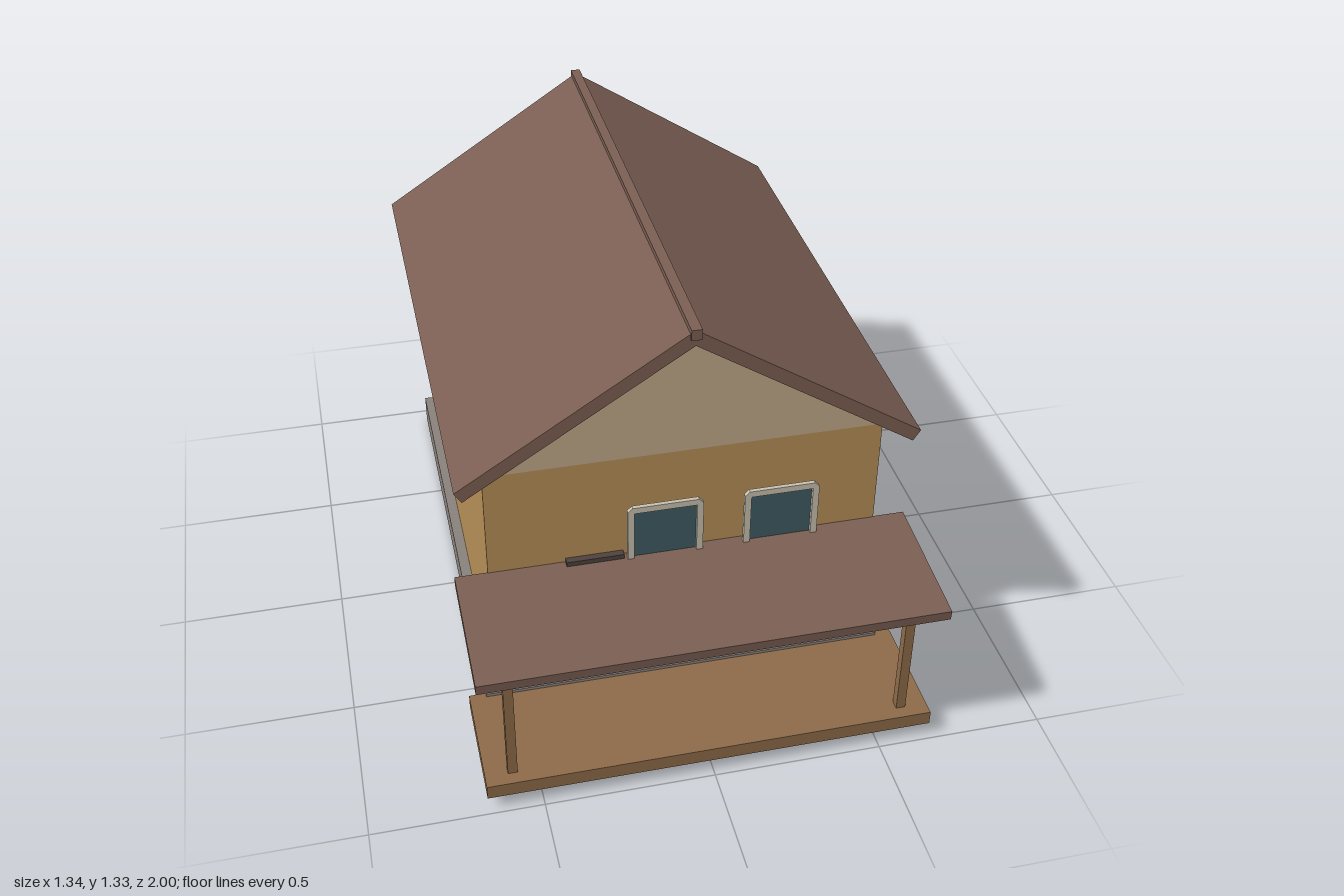
import * as THREE from 'three';

const paint = (color) => new THREE.MeshStandardMaterial({ color });
const M = {
  wall: paint(0xb38d56), gable: paint(0xbfa888), stone: paint(0x89807a), roof: paint(0x7a5e52),
  timber: paint(0x8c6a48), door: paint(0x4d423e), glass: paint(0x3f5a63), trim: paint(0xc8bfae),
};

export function createModel() {
  const house = new THREE.Group();
  house.name = 'house';

  const add = (name, geometry, material) => {
    const mesh = new THREE.Mesh(geometry, material);
    mesh.name = name;
    house.add(mesh);
    return mesh;
  };
  // box given by its extents
  const box = (name, material, x0, x1, y0, y1, z0, z1) => {
    const mesh = add(name, new THREE.BoxGeometry(x1 - x0, y1 - y0, z1 - z0), material);
    mesh.position.set((x0 + x1) / 2, (y0 + y1) / 2, (z0 + z1) / 2);
    return mesh;
  };
  const outline = (points) => new THREE.Shape(points.map(([x, y]) => new THREE.Vector2(x, y)));
  // profile in x, y drawn out along z
  const prism = (name, material, shape, z0, z1) => {
    const geometry = new THREE.ExtrudeGeometry(shape, { depth: z1 - z0, bevelEnabled: false });
    geometry.translate(0, 0, z0);
    return add(name, geometry, material);
  };

  // body
  box('foundation', M.stone, -0.61, 0.61, 0, 0.097, -0.945, 0.63);
  box('walls', M.wall, -0.577, 0.577, 0.097, 0.88, -0.91, 0.595);
  prism('gable', M.gable, outline([[-0.577, 0.88], [0.577, 0.88], [0, 1.285]]), -0.91, 0.595);

  // main roof: two slabs, square-cut at the eaves, and a ridge cap
  for (const [name, s] of [['leftRoof', 1], ['rightRoof', -1]]) {
    const section = [[0, 1.325], [0, 1.277], [0.641, 0.865], [0.662, 0.898]];
    prism(name, M.roof, outline(section.map(([x, y]) => [s * x, y])), -0.99, 0.672);
  }
  box('ridgeCap', M.roof, -0.015, 0.015, 1.3, 1.332, -1, 0.682);

  // porch
  box('porchDeck', M.timber, -0.66, 0.66, 0.042, 0.087, 0.615, 0.98);
  for (const [name, x] of [['leftPost', 0.58], ['rightPost', -0.58]]) {
    box(name, M.timber, x - 0.014, x + 0.014, 0.087, 0.485, 0.914, 0.942);
  }
  const porchRoof = add('porchRoof', new THREE.BoxGeometry(1.344, 0.032, 0.409), M.roof);
  porchRoof.position.set(0, 0.504, 0.795);
  porchRoof.rotation.x = 0.09;

  // door
  box('door', M.door, -0.352, -0.183, 0.097, 0.551, 0.59, 0.616);
  box('doorWindow', M.glass, -0.318, -0.219, 0.339, 0.452, 0.61, 0.621);

  // windows: pane with a chamfered surround standing just proud of it
  const [w, h, c] = [0.111, 0.135, 0.014];
  for (const [name, x] of [['rightWindow', -0.063], ['leftWindow', 0.281]]) {
    const y = 0.585;
    box(name + 'Pane', M.glass, x - 0.092, x + 0.092, y - 0.105, y + 0.107, 0.59, 0.611);
    const frame = outline([
      [-w + c, -h], [w - c, -h], [w, -h + c], [w, h - c],
      [w - c, h], [-w + c, h], [-w, h - c], [-w, -h + c],
    ]);
    frame.holes.push(outline([[-0.092, -0.115], [-0.092, 0.115], [0.092, 0.115], [0.092, -0.115]]));
    prism(name + 'Frame', M.trim, frame, 0.609, 0.622).position.set(x, y, 0);
  }

  return house;
}
